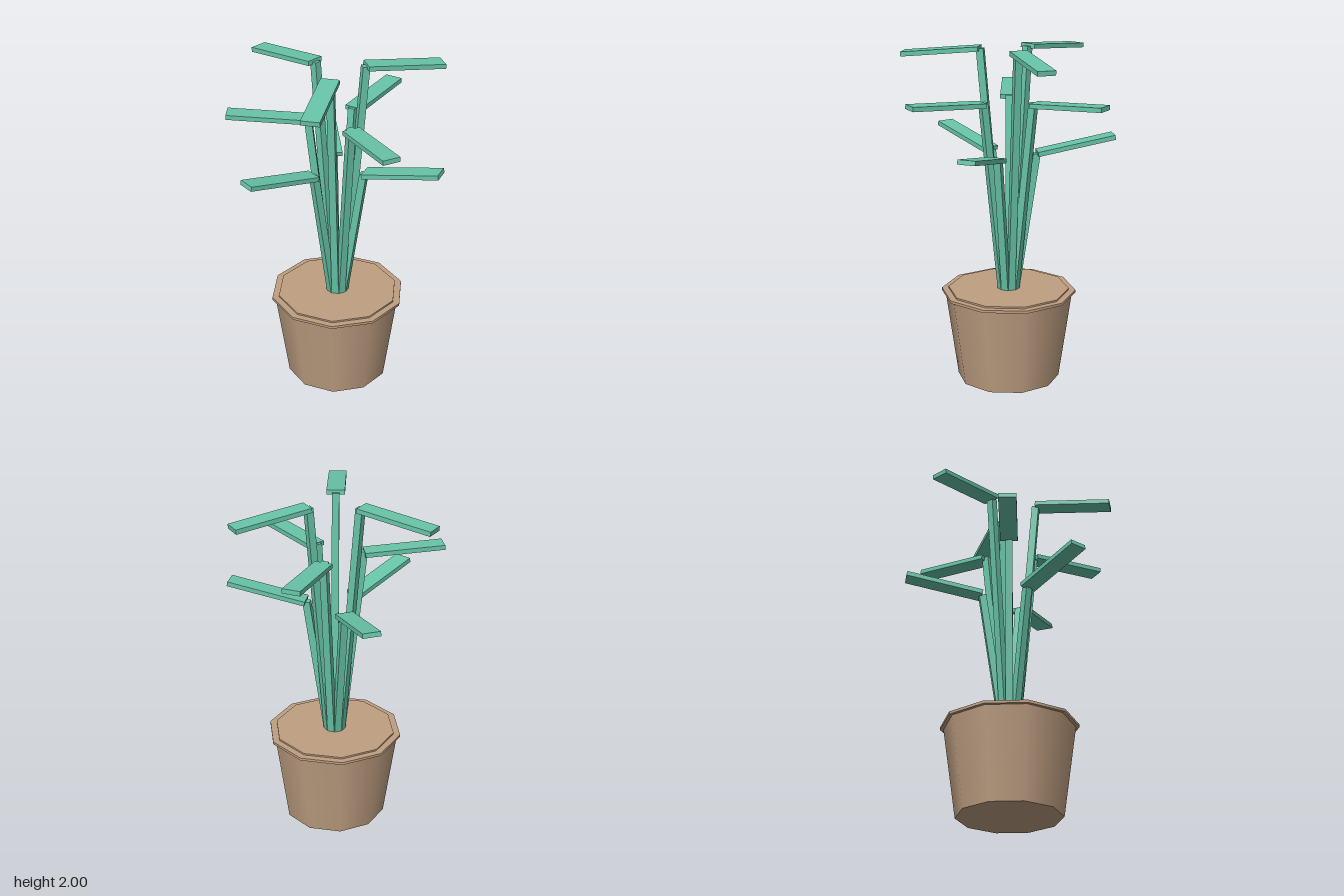
import * as THREE from 'three';

export function createModel() {
  const model = new THREE.Group();
  model.name = 'pottedPlant';
  const clay = new THREE.MeshStandardMaterial({ color: 0xbf9f82 });
  clay.name = 'clay';
  const leafGreen = new THREE.MeshStandardMaterial({ color: 0x68c4a8 });
  leafGreen.name = 'leafGreen';

  // Everything shares an axis slightly left of the origin
  const plant = new THREE.Group();
  plant.name = 'plantAndPot';
  plant.position.x = -0.012;
  model.add(plant);

  // Ten-sided pot, rim and soil disc, with a corner pointing along x
  const ring = (name, rTop, rBottom, y0, y1) => {
    const geo = new THREE.CylinderGeometry(rTop, rBottom, y1 - y0, 10);
    geo.rotateY(Math.PI / 2);
    const mesh = new THREE.Mesh(geo, clay);
    mesh.name = name;
    mesh.position.y = (y0 + y1) / 2;
    plant.add(mesh);
  };
  ring('pot', 0.38, 0.305, 0, 0.531);
  ring('rim', 0.4, 0.4, 0.53, 0.546);
  ring('soil', 0.36, 0.36, 0.546, 0.556);

  // Bar lying in the radial plane between two (radius, height) points
  const bar = (name, r0, y0, r1, y1, thickness, width) => {
    const length = Math.hypot(r1 - r0, y1 - y0);
    const mesh = new THREE.Mesh(new THREE.BoxGeometry(length, thickness, width), leafGreen);
    mesh.name = name;
    mesh.position.set((r0 + r1) / 2, (y0 + y1) / 2, 0);
    mesh.rotation.z = Math.atan2(y1 - y0, r1 - r0);
    return mesh;
  };

  // Nine stems, cycling through low, middle and high leaves
  const tiers = [
    { stemTop: 1.372, near: 1.375, tip: 1.462 },
    { stemTop: 1.69, near: 1.68, tip: 1.703 },
    { stemTop: 1.985, near: 1.986, tip: 1.944 },
  ];
  for (let i = 0; i < 9; i++) {
    const tier = tiers[i % 3];
    const branch = new THREE.Group();
    branch.name = 'branch' + (i + 1);
    branch.rotation.y = -i * Math.PI * 2 / 9;
    branch.add(bar('stem', 0.04, 0.54, 0.165, tier.stemTop, 0.042, 0.042));
    branch.add(bar('leaf', 0.168, tier.near, 0.624, tier.tip, 0.027, 0.105));
    plant.add(branch);
  }
  return model;
}
